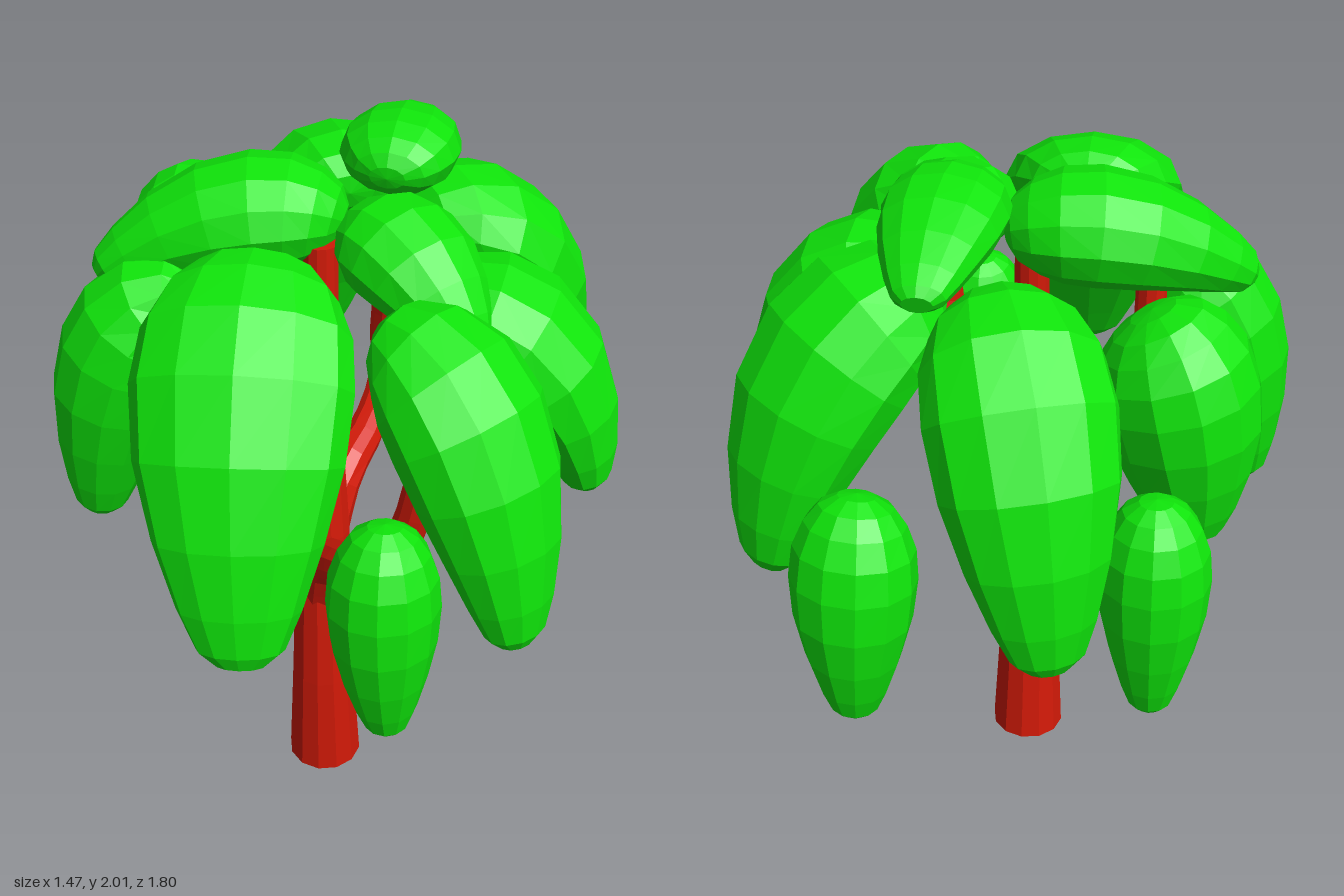
import * as THREE from 'three';

const V = (p) => new THREE.Vector3(...p);
const bark = new THREE.MeshStandardMaterial({ color: 0xd21a08, flatShading: true, side: THREE.DoubleSide });
const green = new THREE.MeshStandardMaterial({ color: 0x0fe60a, flatShading: true });

// Sweeps an ellipse along a curve; profile rows are [position along curve, scale]
function loft(curve, profile, width, thickness, sides, side) {
  const pos = [], index = [];
  profile.forEach(([t, r], i) => {
    const p = curve.getPointAt(t), T = curve.getTangentAt(t);
    const N = T.clone().cross(side).normalize(), S = N.clone().cross(T);
    for (let j = 0; j < sides; j++) {
      const a = (j / sides) * Math.PI * 2;
      const q = p.clone()
        .addScaledVector(S, Math.cos(a) * width * r)
        .addScaledVector(N, Math.sin(a) * thickness * r);
      pos.push(q.x, q.y, q.z);
      if (i === 0) continue;
      const k = (j + 1) % sides, lo = (i - 1) * sides, hi = i * sides;
      index.push(lo + j, lo + k, hi + k, lo + j, hi + k, hi + j);
    }
  });
  const g = new THREE.BufferGeometry();
  g.setAttribute('position', new THREE.Float32BufferAttribute(pos, 3));
  g.setIndex(index);
  g.computeVertexNormals();
  return g;
}

// Horizontal direction across the sweep from a to b
function across(a, b) {
  const s = new THREE.Vector3(b.z - a.z, 0, a.x - b.x);
  return s.length() < 0.01 ? new THREE.Vector3(1, 0, 0) : s.normalize();
}

// Domed at the root, widest at a third, blunt at the tip
const LEAF = [[0, 0], [0.01, 0.3], [0.05, 0.58], [0.12, 0.79], [0.22, 0.95], [0.35, 1], [0.52, 0.94],
  [0.7, 0.77], [0.86, 0.57], [0.96, 0.41], [1, 0.24], [1, 0]];

// root, bend, tip, half width, half thickness
const LEAVES = [
  // large drooping leaves
  [[-0.16, 1.78, 0.27], [-0.14, 1.74, 0.68], [-0.1, 1.03, 0.85], 0.26, 0.145],
  [[0.16, 1.68, 0.38], [0.42, 1.71, 0.53], [0.53, 1.01, 0.63], 0.21, 0.165],
  [[0.21, 1.6, 0.07], [0.57, 1.64, 0.08], [0.67, 1.12, 0.09], 0.22, 0.16],
  [[0.13, 1.7, -0.19], [0.43, 1.71, -0.39], [0.51, 1.06, -0.55], 0.25, 0.18],
  [[-0.04, 1.71, -0.3], [-0.17, 1.77, -0.68], [-0.25, 1.01, -0.75], 0.23, 0.165],
  [[-0.35, 1.64, 0.2], [-0.56, 1.65, 0.2], [-0.645, 0.97, 0.23], 0.185, 0.175],
  [[-0.4, 1.74, -0.28], [-0.5, 1.56, -0.29], [-0.54, 1.12, -0.3], 0.2, 0.2],
  // small hanging leaves
  [[0.21, 1.35, 0.67], [0.21, 1.1, 0.71], [0.23, 0.73, 0.7], 0.14, 0.135],
  [[0.21, 1.43, -0.71], [0.22, 1.2, -0.78], [0.23, 0.82, -0.79], 0.155, 0.145],
  [[-0.46, 1.37, -0.52], [-0.47, 1.1, -0.54], [-0.48, 0.74, -0.55], 0.14, 0.14],
  // flatter crown leaves
  [[0, 1.77, 0], [-0.3, 1.86, 0], [-0.61, 1.64, 0.14], 0.185, 0.145],
  [[0.04, 1.74, 0.02], [0.18, 1.84, 0.13], [0.36, 1.6, 0.3], 0.165, 0.13],
  [[0.1, 1.89, -0.01], [0.12, 1.93, -0.22], [0.1, 1.83, -0.53], 0.155, 0.102],
];

// path points and half thickness
const BRANCHES = {
  frontBranch: [[[-0.05, 0.64, 0.1], [-0.02, 0.82, 0.18], [0.07, 0.91, 0.31], [0.17, 0.99, 0.42],
    [0.23, 1.15, 0.45], [0.27, 1.32, 0.46], [0.28, 1.56, 0.46]], 0.057],
  backBranch: [[[-0.05, 0.84, 0.09], [-0.01, 0.99, 0], [0.04, 1.06, -0.16], [0.06, 1.14, -0.33],
    [0.06, 1.3, -0.31], [0.1, 1.68, -0.21]], 0.052],
  sideBranch: [[[-0.05, 0.85, 0.09], [-0.14, 1.02, 0.07], [-0.28, 1.18, 0.04], [-0.36, 1.42, 0.02],
    [-0.37, 1.74, 0.03]], 0.05],
};

export function createModel() {
  const tree = new THREE.Group();
  tree.name = 'tree';
  const add = (parent, name, geometry, material) => {
    const mesh = new THREE.Mesh(geometry, material);
    mesh.name = name;
    parent.add(mesh);
  };

  // Trunk, open and flared at the foot, running up into the crown
  const trunk = new THREE.CatmullRomCurve3(
    [[-0.05, 0, 0.09], [-0.05, 0.4, 0.105], [-0.05, 0.8, 0.1], [-0.05, 1.2, 0.09], [-0.05, 1.75, 0.08]].map(V));
  const trunkProfile = [[0, 0.11], [0.2, 0.092], [0.38, 0.081], [0.5, 0.079],
    [0.6, 0.068], [0.72, 0.05], [1, 0.045], [1, 0]];
  add(tree, 'trunk', loft(trunk, trunkProfile, 1, 1, 12, new THREE.Vector3(1, 0, 0)), bark);

  // Branches, thick where they leave the trunk
  for (const [name, [points, r]] of Object.entries(BRANCHES)) {
    const path = points.map(V);
    const profile = [[0, 0]];
    for (let i = 0; i <= 14; i++) profile.push([i / 14, 0.8 + 0.55 * (1 - i / 14) ** 3]);
    profile.push([1, 0]);
    const curve = new THREE.CatmullRomCurve3(path);
    add(tree, name, loft(curve, profile, r, r, 10, across(path[0], path.at(-1))), bark);
  }

  // Leaves
  const leaves = new THREE.Group();
  leaves.name = 'leaves';
  for (const [root, bend, tip, w, h] of LEAVES) {
    const [a, b, c] = [root, bend, tip].map(V);
    const curve = new THREE.QuadraticBezierCurve3(a, b, c);
    add(leaves, 'leaf', loft(curve, LEAF, w, h, 12, across(a, c)), green);
  }
  tree.add(leaves);
  return tree;
}
